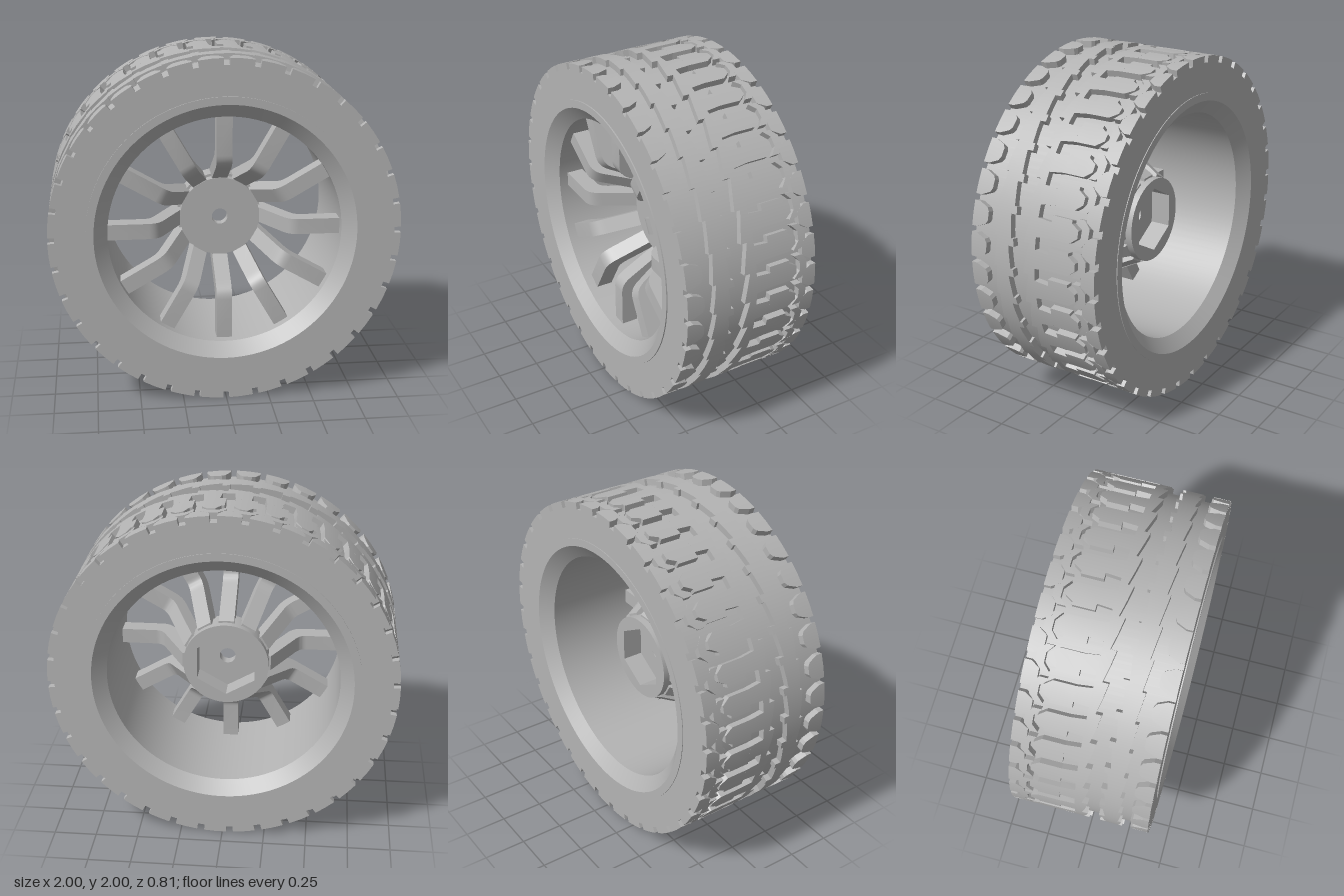
import * as THREE from 'three';
import { mergeGeometries, toCreasedNormals } from 'three/addons/utils/BufferGeometryUtils.js';

const PITCHES = 36;            // tread repeats around the tyre
const STEP = (Math.PI * 2) / PITCHES;
const BASE_R = 0.962, TREAD_R = 1.0;

// Revolve a closed [radius, z] profile around the z axis
function revolve(profile, segments = 96) {
  const pts = profile.map(([r, z]) => new THREE.Vector2(r, z));
  const geo = new THREE.LatheGeometry(pts, segments);
  geo.rotateX(Math.PI / 2);
  return toCreasedNormals(geo, 0.5);
}

// Tread block: outline in [pitch fraction, z], extruded and wrapped on the tyre
function wrappedBlock(outline, offset) {
  const shape = new THREE.Shape(outline.map(([u, z]) => new THREE.Vector2(u * STEP, z)));
  const geo = new THREE.ExtrudeGeometry(shape, { depth: 1, bevelEnabled: false });
  const pos = geo.attributes.position;
  const isTop = [];
  for (let i = 0; i < pos.count; i++) {
    isTop.push(geo.attributes.normal.getZ(i) > 0.5);
    const a = pos.getX(i) + offset;
    const r = THREE.MathUtils.lerp(BASE_R - 0.008, TREAD_R, pos.getZ(i));
    pos.setXYZ(i, r * Math.cos(a), r * Math.sin(a), pos.getY(i));
  }
  geo.computeVertexNormals();
  // Tops follow the round of the tyre
  for (let i = 0; i < pos.count; i++) {
    if (!isTop[i]) continue;
    const a = Math.atan2(pos.getY(i), pos.getX(i));
    geo.attributes.normal.setXYZ(i, Math.cos(a), Math.sin(a), 0);
  }
  return geo;
}

function treadRow(outline, shift = 0) {
  const blocks = [];
  for (let i = 0; i < PITCHES; i++) blocks.push(wrappedBlock(outline, (i + shift) * STEP));
  return mergeGeometries(blocks);
}

// Circle or polygon path
function ring(PathType, radius, sides, start = 0) {
  const pts = [];
  for (let i = 0; i < sides; i++) {
    const a = start + (i / sides) * Math.PI * 2;
    pts.push(new THREE.Vector2(radius * Math.cos(a), radius * Math.sin(a)));
  }
  return new PathType(pts);
}

// Disc with a hole, between two z planes
function piercedDisc(radius, hole, z0, z1) {
  const shape = ring(THREE.Shape, radius, 48);
  shape.holes.push(hole);
  const geo = new THREE.ExtrudeGeometry(shape, { depth: z1 - z0, bevelEnabled: false });
  geo.translate(0, 0, z0);
  return toCreasedNormals(geo, 0.5);
}

export function createModel() {
  const grey = new THREE.MeshStandardMaterial({ color: 0xb4b4b4 });
  grey.name = 'grey';

  const group = new THREE.Group();
  group.name = 'wheel';
  const wheel = new THREE.Group();
  wheel.name = 'wheelAssembly';
  wheel.position.y = 1;
  group.add(wheel);
  const add = (name, geo, parent = wheel) => {
    const mesh = new THREE.Mesh(geo, grey);
    mesh.name = name;
    parent.add(mesh);
    return mesh;
  };

  // Tyre carcass with flat side walls
  add('tyre', revolve([[0.78, -0.402], [BASE_R, -0.402], [BASE_R, 0.4], [0.78, 0.4]], 144));

  // Rim with bevelled lips and a straight barrel
  add('rim', revolve([
    [0.667, -0.34], [0.745, -0.406], [0.79, -0.406], [0.79, 0.407],
    [0.745, 0.407], [0.667, 0.34], [0.667, -0.34],
  ]));

  // Tread rows from front to back
  const tread = new THREE.Group();
  tread.name = 'tread';
  wheel.add(tread);
  add('frontShoulderLugs', treadRow([
    [0.1, 0.4], [0.1, 0.365], [0.24, 0.31], [0.36, 0.298], [0.64, 0.298],
    [0.76, 0.31], [0.9, 0.365], [0.9, 0.4], [0.5, 0.4],
  ]), tread);
  add('frontRib', treadRow([
    [0, 0.245], [0, 0.135], [0.5, 0.145], [0.75, 0.15], [0.75, 0.115], [1, 0.12],
    [1, 0.225], [0.5, 0.235],
  ]), tread);
  add('middleRib', treadRow([
    [0, 0.05], [0, -0.025], [0.24, -0.025], [0.3, -0.11], [0.55, -0.11],
    [0.8, -0.11], [0.84, -0.025], [1, -0.025], [1, 0.015], [0.5, 0.035],
  ]), tread);
  add('centreBlocks', treadRow([
    [0.05, -0.11], [0.05, -0.235], [0.25, -0.28], [0.5, -0.28], [0.66, -0.235],
    [0.76, -0.235], [0.76, -0.11], [0.4, -0.11],
  ], 0.25), tread);
  add('backZigzagBlocks', treadRow([
    [0.04, -0.265], [0.04, -0.31], [0.3, -0.345], [0.62, -0.345], [0.84, -0.31],
    [0.84, -0.265], [0.62, -0.3], [0.3, -0.3],
  ], 0.25), tread);
  add('backShoulderLugs', treadRow([
    [0.12, -0.402], [0.5, -0.402], [0.88, -0.402], [0.88, -0.365], [0.7, -0.318],
    [0.3, -0.318], [0.12, -0.365],
  ], 0.75), tread);

  // Hub: front plate with axle hole, back collar with hexagonal socket
  const hub = new THREE.Group();
  hub.name = 'hub';
  wheel.add(hub);
  add('hubPlate', piercedDisc(0.235, ring(THREE.Path, 0.047, 32), -0.03, 0.03), hub);
  add('hexCollar', piercedDisc(0.25, ring(THREE.Path, 0.195, 6, Math.PI / 2), -0.15, -0.03), hub);

  // Twelve dished spokes, drawn in side profile [radius, z]
  const side = new THREE.Shape();
  side.moveTo(0.21, 0.028);
  side.lineTo(0.235, 0.028);
  side.lineTo(0.33, 0.2);
  side.bezierCurveTo(0.36, 0.26, 0.38, 0.28, 0.43, 0.285);
  side.lineTo(0.69, 0.285);
  side.lineTo(0.69, 0.185);
  side.lineTo(0.46, 0.185);
  side.bezierCurveTo(0.43, 0.185, 0.41, 0.17, 0.39, 0.13);
  side.lineTo(0.26, -0.11);
  side.lineTo(0.21, -0.11);
  const width = 0.09;
  const bar = new THREE.ExtrudeGeometry(side, { depth: width, bevelEnabled: false, curveSegments: 8 });
  bar.translate(0, 0, -width / 2);
  bar.rotateX(Math.PI / 2);
  const spokeGeo = toCreasedNormals(bar, 0.5);
  const spokes = new THREE.Group();
  spokes.name = 'spokes';
  wheel.add(spokes);
  for (let i = 0; i < 12; i++) {
    add('spoke', spokeGeo, spokes).rotation.z = (i * Math.PI) / 6;
  }

  return group;
}
